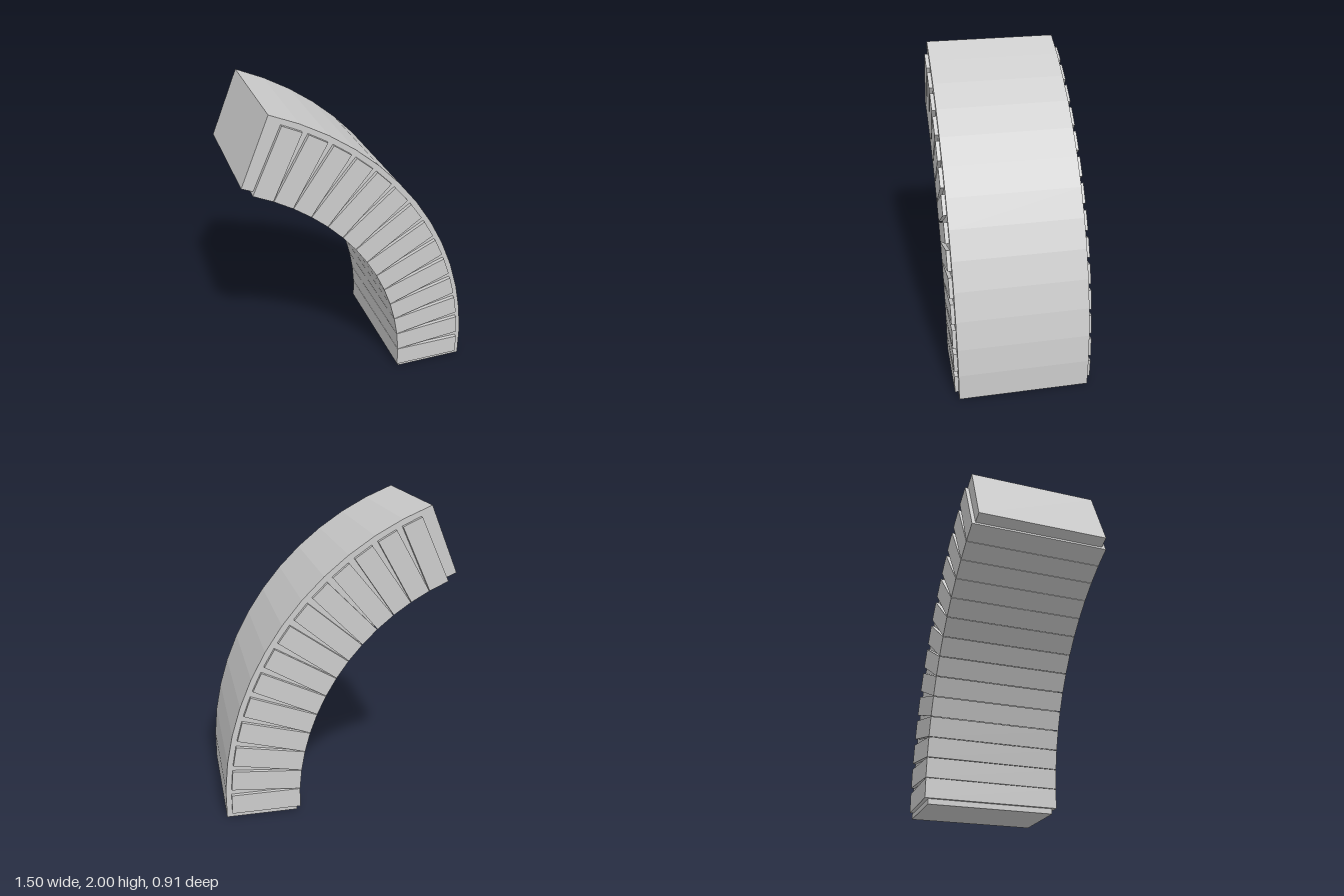
import * as THREE from 'three';

const CENTER_X = -1.27, CENTER_Y = 0.102;
const rad = THREE.MathUtils.degToRad;

// Point on an arc around the common arch centre
const onArc = (radius, degrees) => new THREE.Vector2(
  CENTER_X + radius * Math.cos(rad(degrees)),
  CENTER_Y + radius * Math.sin(rad(degrees))
);

export function createModel() {
  const group = new THREE.Group();
  group.name = 'archSegment';
  const material = new THREE.MeshStandardMaterial({ color: 0xcccccc, flatShading: true });

  // Solid curved core with faceted inner and outer faces
  const segments = 13, outline = [];
  for (let i = 0; i <= segments; i++) {
    outline.push(onArc(2.022, THREE.MathUtils.lerp(-2.89, 69.8, i / segments)));
  }
  for (let i = segments; i >= 0; i--) {
    outline.push(onArc(1.558, THREE.MathUtils.lerp(-3.75, 70.55, i / segments)));
  }
  const coreGeometry = new THREE.ExtrudeGeometry(new THREE.Shape(outline), { depth: 0.864, bevelEnabled: false });
  coreGeometry.translate(0, 0, -0.432);
  const core = new THREE.Mesh(coreGeometry, material);
  core.name = 'archCore';
  group.add(core);

  // Stone blocks running through the core, standing proud on both sides and inside
  const blocks = 14, inner = 1.535, outer = 1.985;
  const blockGeometry = new THREE.BoxGeometry(outer - inner, 0.132, 0.914);
  for (let i = 0; i < blocks; i++) {
    const angle = (65.4 * i) / (blocks - 1);
    const position = onArc((inner + outer) / 2, angle);
    const block = new THREE.Mesh(blockGeometry, material);
    block.name = `archBlock${i + 1}`;
    block.position.set(position.x, position.y, 0);
    block.rotation.z = rad(angle);
    group.add(block);
  }

  return group;
}
